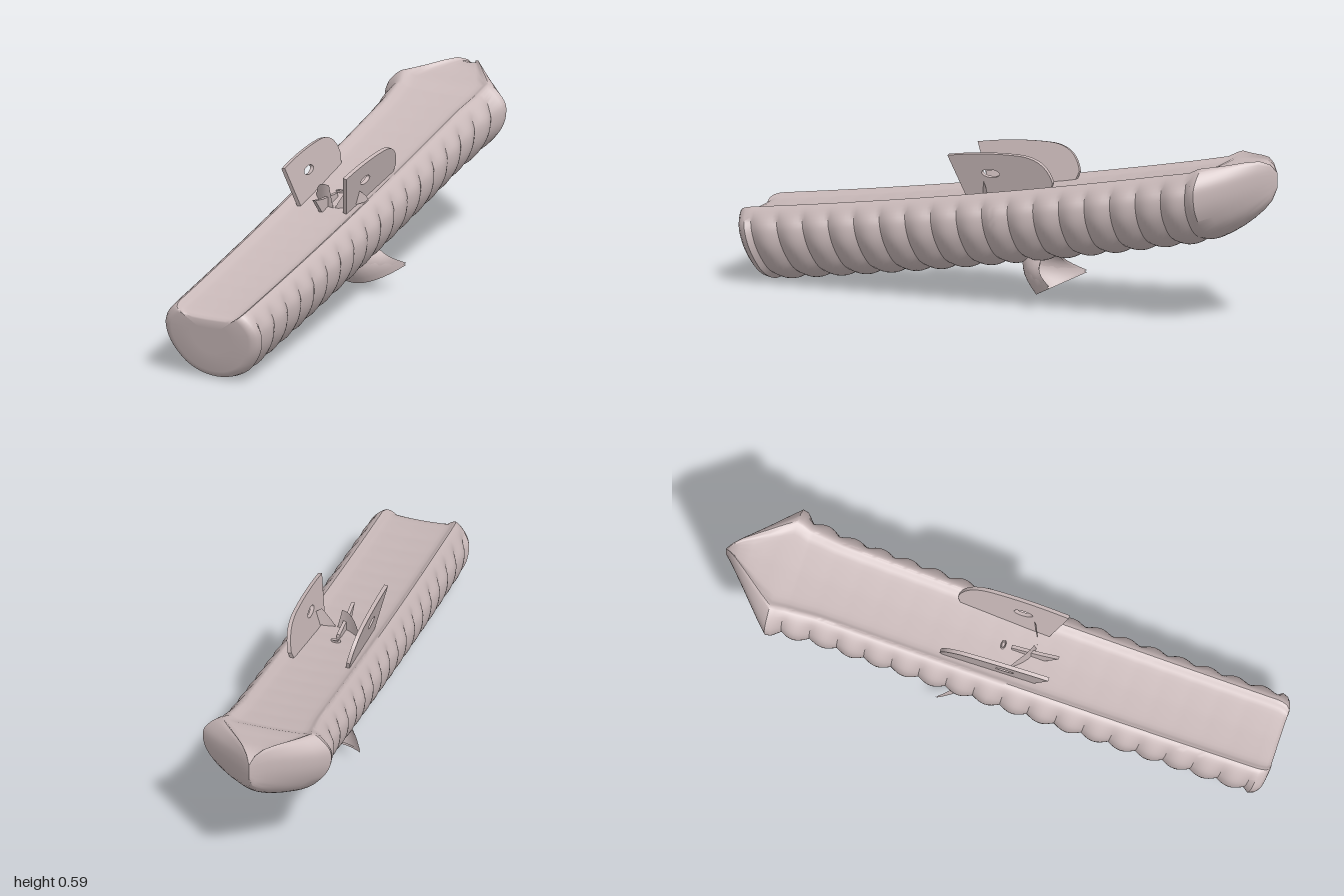
import * as THREE from 'three';
import { toCreasedNormals } from 'three/addons/utils/BufferGeometryUtils.js';

const shell = new THREE.MeshStandardMaterial({ color: 0xc9b9b9 });
shell.name = 'dusty pink grey';
shell.side = THREE.DoubleSide;

const V2 = (x, y) => new THREE.Vector2(x, y);
const lerp = THREE.MathUtils.lerp;
const smooth = THREE.MathUtils.smoothstep;

// Half section of the hull: x as a share of half width, y as a share of depth below the top
const half = [[0, .07], [.3, .065], [.58, .05], [.7, 0], [.84, .07], [.97, .2], [1, .33],
  [.96, .5], [.84, .67], [.64, .84], [.34, .96], [0, 1]];
const section = half.map(([x, y]) => V2(x, y));
for (let i = half.length - 2; i >= 0; i--) section.push(V2(-half[i][0], half[i][1]));
const ring = new THREE.SplineCurve(section).getPoints(66).slice(0, -1);

function grid(rows, closed) {
  const n = rows[0].length, pos = rows.flat(2), index = [];
  for (let i = 0; i < rows.length - 1; i++) {
    for (let j = 0; j < (closed ? n : n - 1); j++) {
      const k = (j + 1) % n, a = i * n + j, b = i * n + k, c = a + n, d = b + n;
      index.push(a, b, c, b, d, c);
    }
  }
  const g = new THREE.BufferGeometry();
  g.setAttribute('position', new THREE.Float32BufferAttribute(pos, 3));
  g.setIndex(index);
  g.computeVertexNormals();
  return g;
}

const topY = z => .42 - .172 * z + .022 * z * z;

// One hull ring: z, half width, top height, depth, scale for the end cap, rib groove depth
function hullRing(z, w, top, depth, scale = 1, groove = 0) {
  const shear = .24 * Math.max(0, (z + .8) / 1.8);
  return ring.map(p => {
    const k = scale * (1 - groove * smooth(p.y, .02, .22));
    const y = .35 + (p.y - .35) * k;
    return [p.x * w * k, top - y * depth, z - y * depth * shear];
  });
}

function hull() {
  const rows = [];
  const w = z => .186 + .009 * (1 - z);
  // Bevelled front cap
  for (const [z, s] of [[1, 0], [1, .4], [1, .8], [.997, .87], [.985, .95], [.965, .99]])
    rows.push(hullRing(z, w(z), topY(z), .268, s));
  // Ribbed run, flaring at the rear
  const ribs = 17, steps = 8;
  for (let i = 0; i <= ribs * steps; i++) {
    const z = lerp(.945, -.74, i / (ribs * steps));
    const groove = .085 * (1 - Math.abs(Math.sin(Math.PI * i / steps)));
    rows.push(hullRing(z, w(z) + .015 * smooth(-z, .6, .76), topY(z), .27, 1, groove));
  }
  // Wedge shaped rear: z, half width, top, bottom
  for (const [z, wd, t, b] of [[-.77, .228, .575, .305], [-.79, .232, .582, .31], [-.83, .19, .585, .33],
    [-.87, .145, .59, .355], [-.91, .1, .596, .385], [-.95, .056, .598, .42], [-.98, .022, .585, .455], [-1, 0, .555, .5]])
    rows.push(hullRing(z, wd, t, t - b));
  return toCreasedNormals(grid(rows, true), .7);
}

// Thin curved sheet; f(u, v) returns a point for u in -1..1 and v in 0..1
function sheet(f) {
  const rows = [];
  for (let i = 0; i <= 6; i++) {
    const row = [];
    for (let j = 0; j <= 16; j++) row.push(f(j / 8 - 1, i / 6));
    rows.push(row);
  }
  return grid(rows, false);
}

// Flat plate standing along z; outline given as (-z, y)
function plate(shape, thick) {
  const g = new THREE.ExtrudeGeometry(shape, { depth: thick, bevelEnabled: false, curveSegments: 16 });
  g.translate(0, 0, -thick / 2);
  g.rotateY(Math.PI / 2);
  return g;
}

export function createModel() {
  const group = new THREE.Group();
  const add = (name, geometry) => {
    const m = new THREE.Mesh(geometry, shell);
    m.name = name;
    group.add(m);
    return m;
  };

  add('ribbedHull', hull());

  // Upright side plates with an oval hole, leaning outward
  const outline = new THREE.Shape();
  outline.moveTo(-.2, .152);
  outline.lineTo(-.14, 0);
  outline.lineTo(.18, .045);
  outline.lineTo(.195, .085);
  outline.quadraticCurveTo(.175, .175, .07, .176);
  outline.quadraticCurveTo(-.06, .178, -.2, .152);
  const hole = new THREE.Path();
  hole.absellipse(-.04, .1, .034, .015, 0, Math.PI * 2, true);
  outline.holes.push(hole);
  for (const side of [-1, 1]) {
    const p = add(side > 0 ? 'leftPlate' : 'rightPlate', plate(outline, .014));
    p.position.set(side * .089, .38, 0);
    p.rotation.z = -side * .2;
  }

  // Pair of curved fans between the plates
  const fan = (cx, cy, r, a0, a1) => sheet((u, v) => {
    const a = lerp(a0, a1, (u + 1) / 2);
    const x = lerp(.03, cx + r * Math.cos(a), v), y = lerp(.376, cy + r * Math.sin(a), v);
    return [x, y, .11 - 6.5 * (x - .03) ** 2];
  });
  add('rightFan', fan(0, .39, .07, Math.PI, 1.42));
  add('leftFan', fan(.06, .39, .073, 1.3, .2));

  // Centre blade and small ring
  const blade = new THREE.Shape([V2(-.2, .432), V2(-.15, .375), V2(-.03, .38), V2(-.03, .41), V2(-.14, .42)]);
  add('centreBlade', plate(blade, .012));
  const eye = add('smallRing', new THREE.TorusGeometry(.014, .004, 8, 20));
  eye.rotation.x = Math.PI / 2;
  eye.scale.y = .5;
  eye.position.set(0, .405, 0);

  // Curled fin under the hull
  const fin = offset => sheet((u, v) => {
    const q = u * u;
    return [
      u * lerp(.07, .15, v),
      lerp(.18 - .01 * q, .045 + .055 * q, v) + offset,
      lerp(-.03 - .1 * q, -.09 - .11 * q, v) + .02 * Math.sin(Math.PI * v),
    ];
  });
  add('lowerFin', fin(0));
  add('lowerFinBack', fin(.008));
  return group;
}
